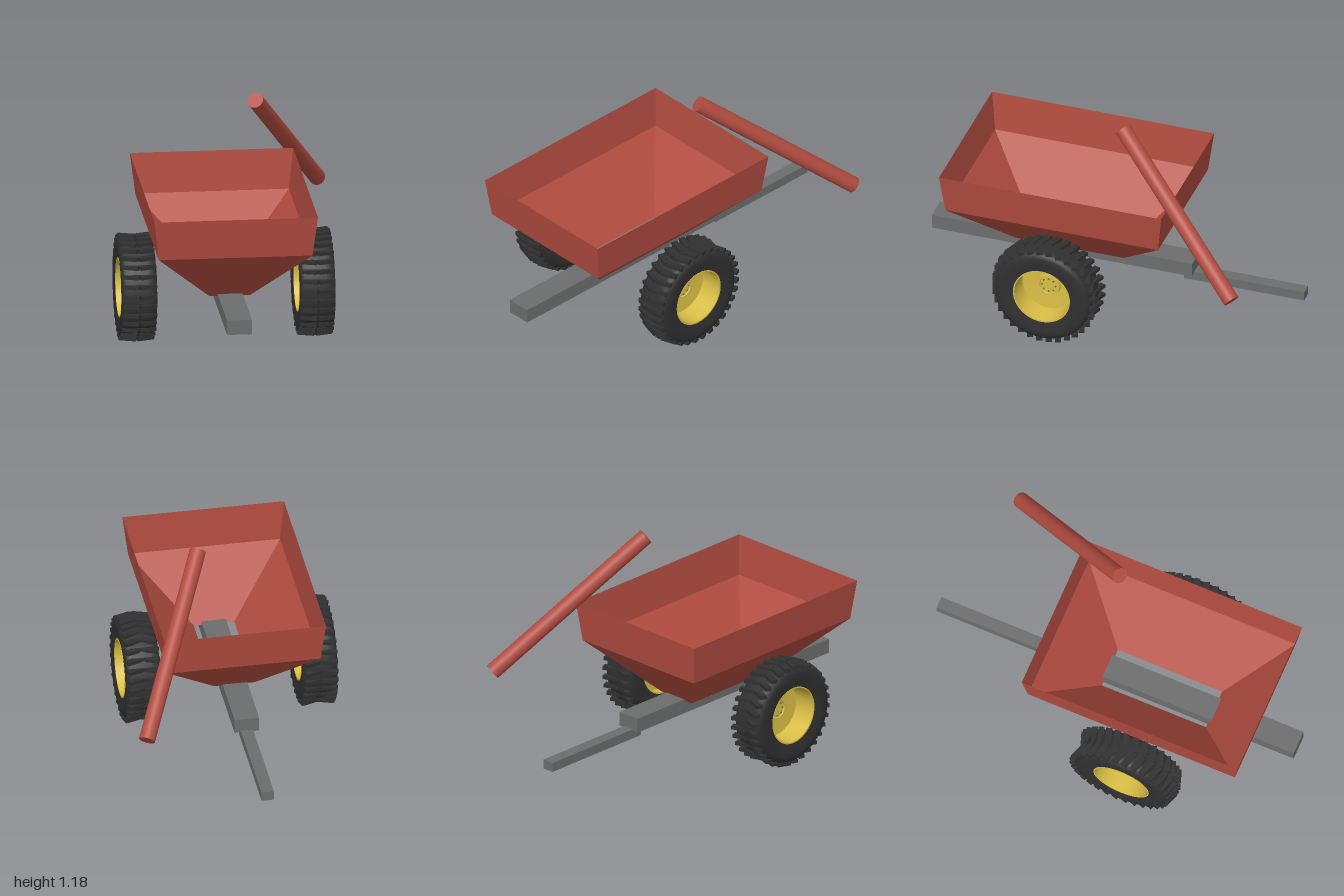
import * as THREE from 'three';
import { toCreasedNormals } from 'three/addons/utils/BufferGeometryUtils.js';

const mat = (name, color, side = THREE.FrontSide) => {
  const m = new THREE.MeshStandardMaterial({ color, side });
  m.name = name;
  return m;
};

export function createModel() {
  const red = mat('red paint', 0xb24c40, THREE.DoubleSide);
  const grey = mat('frame grey', 0x6c6e6d);
  const black = mat('tyre rubber', 0x303030);
  const yellow = mat('rim yellow', 0xd9be45);
  const model = new THREE.Group();
  model.name = 'cart';

  const add = (parent, name, geometry, material, x = 0, y = 0, z = 0) => {
    const mesh = new THREE.Mesh(geometry, material);
    mesh.name = name;
    mesh.position.set(x, y, z);
    parent.add(mesh);
    return mesh;
  };
  const cx = -0.042;

  // Hopper: open sheet running through three rectangular sections
  const sections = [[0.3, 0.105, 0.29], [0.59, 0.395, 0.575], [0.8, 0.42, 0.6]];
  const corners = [[-1, 1], [1, 1], [1, -1], [-1, -1]];
  const point = (s, c) => {
    const [y, hx, hz] = sections[s];
    const [sx, sz] = corners[c % 4];
    return [sx * hx, y, sz * hz];
  };
  const positions = [];
  for (let s = 0; s < 2; s++) {
    for (let c = 0; c < 4; c++) {
      const a = point(s, c), b = point(s, c + 1), d = point(s + 1, c), e = point(s + 1, c + 1);
      positions.push(...a, ...b, ...e, ...a, ...e, ...d);
    }
  }
  const hopper = new THREE.BufferGeometry();
  hopper.setAttribute('position', new THREE.Float32BufferAttribute(positions, 3));
  hopper.computeVertexNormals();
  add(model, 'hopper', hopper, red, cx, 0, 0.24);

  // Frame beam and drawbar
  add(model, 'mainBeam', new THREE.BoxGeometry(0.128, 0.077, 1.406), grey, cx, 0.275, 0.297);
  add(model, 'drawbar', new THREE.BoxGeometry(0.064, 0.05, 0.65), grey, cx, 0.221, -0.675);

  // Slanted unloading tube
  const upper = new THREE.Vector3(0.153, 1.151, -0.077);
  const lower = new THREE.Vector3(0.549, 0.5, -0.798);
  const axis = lower.clone().sub(upper);
  const tube = add(model, 'unloadingTube', new THREE.CylinderGeometry(0.042, 0.042, axis.length(), 32), red);
  tube.position.copy(upper).lerp(lower, 0.5);
  tube.quaternion.setFromUnitVectors(new THREE.Vector3(0, 1, 0), axis.normalize());

  // Wheel profiles as radius and offset along the axle, outward positive
  const lathe = (points, crease) => toCreasedNormals(
    new THREE.LatheGeometry(points.map(([r, y]) => new THREE.Vector2(r, y)), 48), crease);
  const half = [[0.262, 0.04], [0.259, 0.07], [0.25, 0.084], [0.23, 0.091], [0.2, 0.091], [0.153, 0.083]];
  const tyre = lathe([
    ...half.map(([r, y]) => [r, -y]).reverse(), ...half, [0.153, -0.083],
  ], 0.7);
  const rim = lathe([
    [0.154, -0.085], [0.154, 0.085], [0.147, 0.085], [0.143, -0.035],
    [0.062, -0.04], [0.06, -0.025], [0.048, -0.025], [0.046, -0.032], [0, -0.032],
    [0, -0.058], [0.046, -0.058], [0.048, -0.065], [0.06, -0.065], [0.062, -0.05],
    [0.143, -0.047], [0.147, -0.085], [0.154, -0.085],
  ], 0.5);
  const bolt = new THREE.CylinderGeometry(0.005, 0.005, 0.036, 6);
  const lug = new THREE.BoxGeometry(0.086, 0.019, 0.032);

  for (const side of [-1, 1]) {
    const wheel = new THREE.Group();
    wheel.name = side > 0 ? 'leftWheel' : 'rightWheel';
    wheel.position.set(cx + side * 0.458, 0.273, 0.245);
    model.add(wheel);

    const body = new THREE.Group();
    body.name = 'wheelBody';
    body.rotation.z = -side * Math.PI / 2;
    wheel.add(body);
    add(body, 'tyre', tyre, black);
    add(body, 'rim', rim, yellow);
    for (let i = 0; i < 8; i++) {
      const a = i * Math.PI / 4;
      add(body, 'hubBolt', bolt, grey, 0.037 * Math.cos(a), -0.045, 0.037 * Math.sin(a));
    }

    // Chevron tread lugs, level all the way round
    for (let i = 0; i < 32; i++) {
      const a = (i + 0.5) * Math.PI / 16;
      for (const s of [-1, 1]) {
        const block = add(wheel, 'treadLug', lug, black,
          s * 0.043, 0.262 * Math.sin(a), 0.262 * Math.cos(a));
        block.rotation.y = s * 0.33;
      }
    }
  }
  return model;
}
